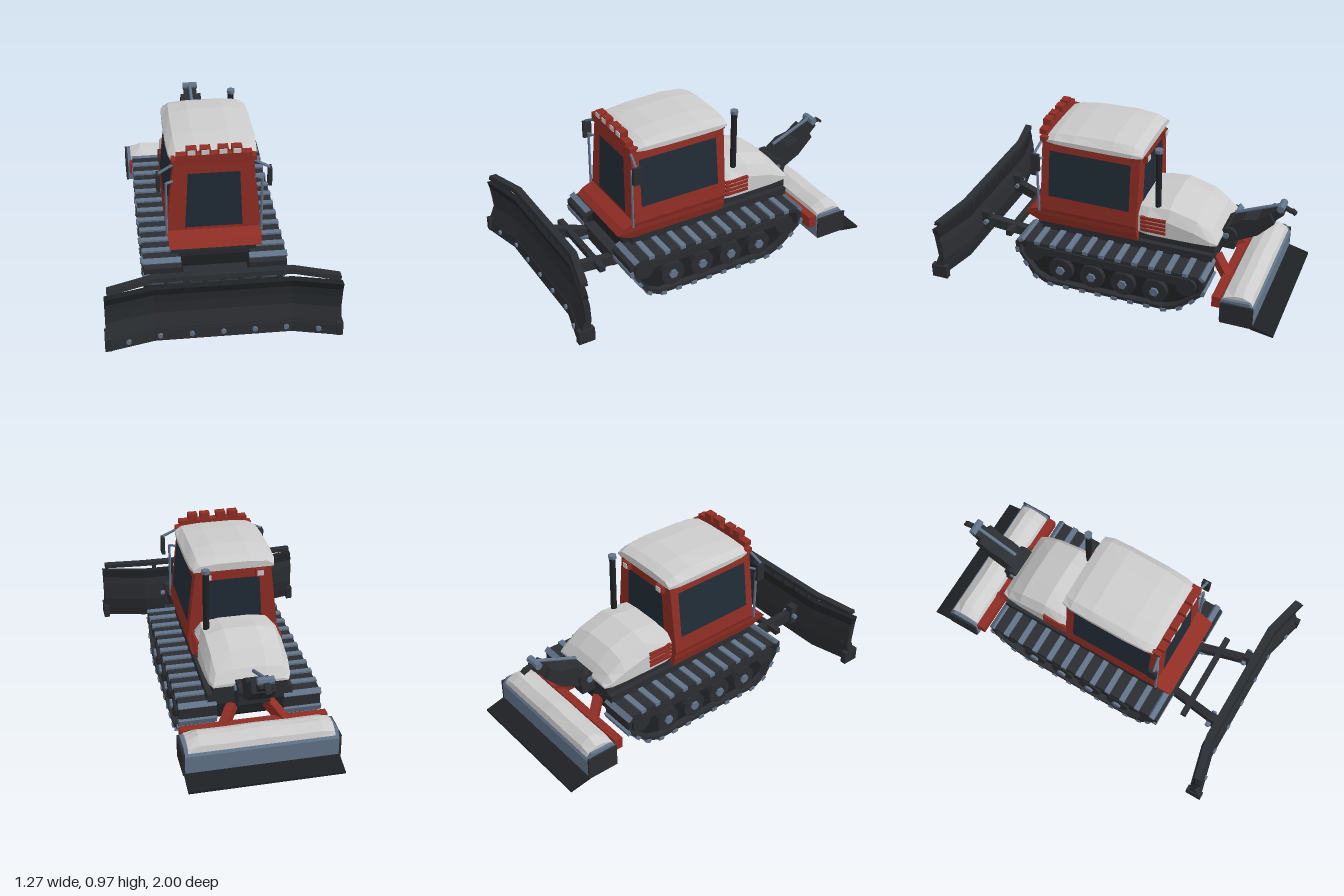
import * as THREE from 'three';

const paint = (color) => new THREE.MeshStandardMaterial({ color, flatShading: true, side: THREE.DoubleSide });

export function createModel() {
  const root = new THREE.Group();
  const dark = paint(0x2a2d31), black = paint(0x1e2124), steel = paint(0x627389);
  const red = paint(0x8f2d24), white = paint(0xcccccc), glass = paint(0x212c36);
  const V = (x, y, z) => new THREE.Vector3(x, y, z);

  const add = (name, geo, mat) => {
    const m = new THREE.Mesh(geo, mat);
    m.name = name;
    root.add(m);
    return m;
  };
  const box = (name, mat, w, h, d, x, y, z) => {
    const m = add(name, new THREE.BoxGeometry(w, h, d), mat);
    m.position.set(x, y, z);
    return m;
  };
  // Box between two points
  const beam = (name, mat, a, b, w, h) => {
    const m = box(name, mat, w, h, a.distanceTo(b), 0, 0, 0);
    m.position.copy(a).add(b).multiplyScalar(0.5);
    m.lookAt(b);
    return m;
  };
  // Round rod between two points
  const rod = (name, mat, a, b, r, sides = 8) => {
    const m = add(name, new THREE.CylinderGeometry(r, r, a.distanceTo(b), sides), mat);
    m.position.copy(a).add(b).multiplyScalar(0.5);
    m.quaternion.setFromUnitVectors(V(0, 1, 0), b.clone().sub(a).normalize());
    return m;
  };
  // Side profile of [z, y] points, extruded from x0 to x1
  const profile = (name, mat, pts, x0, x1, hole) => {
    const shape = new THREE.Shape(pts.map((p) => new THREE.Vector2(...p)));
    if (hole) shape.holes.push(new THREE.Path(hole.map((p) => new THREE.Vector2(...p))));
    const g = new THREE.ExtrudeGeometry(shape, { depth: x1 - x0, bevelEnabled: false });
    g.rotateY(-Math.PI / 2).translate(x1, 0, 0);
    return add(name, g, mat);
  };
  // Closed faceted skin through rings of equal length, turned outward by its volume
  const loft = (name, mat, rings) => {
    const tris = [], n = rings[0].length, last = rings[rings.length - 1];
    for (let r = 0; r + 1 < rings.length; r++) for (let i = 0; i < n; i++) {
      const j = (i + 1) % n, [a, b] = [rings[r], rings[r + 1]];
      tris.push([a[i], a[j], b[j]], [a[i], b[j], b[i]]);
    }
    for (let i = 1; i + 1 < n; i++) {
      tris.push([rings[0][0], rings[0][i + 1], rings[0][i]], [last[0], last[i], last[i + 1]]);
    }
    let vol = 0;
    for (const [a, b, c] of tris) vol += a.dot(b.clone().cross(c));
    const pts = tris.flatMap(([a, b, c]) => (vol < 0 ? [a, c, b] : [a, b, c]));
    const g = new THREE.BufferGeometry().setFromPoints(pts);
    g.computeVertexNormals();
    return add(name, g, mat);
  };
  const panel = (name, mat, a, b, c, d) => {
    const g = new THREE.BufferGeometry().setFromPoints([a, b, c, a, c, d]);
    g.computeVertexNormals();
    return add(name, g, mat);
  };

  // Hull
  profile('lowerHull', black, [[0.5, 0.29], [0.5, 0.17], [0.4, 0.068], [-0.4, 0.068], [-0.55, 0.18], [-0.55, 0.29]], -0.2, 0.2);
  box('upperHull', dark, 0.48, 0.065, 1.04, 0, 0.303, -0.055);
  box('engineBed', dark, 0.42, 0.07, 0.46, 0, 0.365, -0.35);

  // Tracks with cleats and wheels
  const loop = [[0.53, 0.286], [0.568, 0.265], [0.565, 0.225], [0.465, 0.055], [0.385, 0.012], [-0.36, 0.012],
    [-0.44, 0.045], [-0.58, 0.17], [-0.582, 0.27], [-0.56, 0.286]];
  const inner = loop.map(([z, y]) => [z * 0.955, 0.15 + (y - 0.15) * 0.84]);
  const path = new THREE.Shape(loop.map((p) => new THREE.Vector2(...p)));
  path.closePath();
  const spots = path.getSpacedPoints(26);
  for (const s of [-1, 1]) {
    const lo = Math.min(s * 0.19, s * 0.4);
    profile('trackBelt', dark, loop, lo, lo + 0.21, inner);
    const lo2 = Math.min(s * 0.2, s * 0.36);
    profile('trackInnerPanel', black, inner, lo2, lo2 + 0.16);
    box('trackSideRail', dark, 0.03, 0.05, 0.92, s * 0.375, 0.225, -0.02);
    for (let i = 0; i < 26; i++) {
      const p = spots[i], q = spots[i + 1].clone().sub(spots[(i + 25) % 26]);
      box('trackCleat', steel, 0.214, 0.022, 0.034, s * 0.298, p.y, p.x).rotation.x = -Math.atan2(q.y, q.x);
    }
    for (const z of [0.29, 0.096, -0.096, -0.29]) {
      rod('roadWheel', dark, V(s * 0.34, 0.12, z), V(s * 0.392, 0.12, z), 0.075, 14);
      rod('wheelHub', steel, V(s * 0.38, 0.12, z), V(s * 0.405, 0.12, z), 0.028, 6);
    }
    rod('frontIdler', dark, V(s * 0.3, 0.2, 0.465), V(s * 0.385, 0.2, 0.465), 0.058, 12);
    rod('rearSprocket', dark, V(s * 0.3, 0.19, -0.475), V(s * 0.385, 0.19, -0.475), 0.06, 12);
  }

  // Cab
  const cabRing = ([y, h, z0, z1]) => [V(-h, y, z0), V(h, y, z0), V(h, y, z1), V(-h, y, z1)];
  loft('cabBody', red, [[0.333, 0.24, -0.13, 0.475], [0.385, 0.255, -0.13, 0.565], [0.415, 0.257, -0.13, 0.53],
    [0.44, 0.265, -0.13, 0.46], [0.87, 0.217, -0.14, 0.45]].map(cabRing));
  const wall = (y) => 0.268 - (y - 0.44) * 0.111;
  panel('windshield', glass, V(-0.16, 0.46, 0.465), V(0.16, 0.46, 0.465), V(0.142, 0.805, 0.457), V(-0.142, 0.805, 0.457));
  panel('rearWindow', glass, V(0.165, 0.56, -0.138), V(-0.165, 0.56, -0.138), V(-0.15, 0.81, -0.143), V(0.15, 0.81, -0.143));
  for (const s of [-1, 1]) {
    const c = [[0.53, 0.41], [0.53, -0.085], [0.815, -0.085], [0.815, 0.405]].map(([y, z]) => V(s * wall(y), y, z));
    panel('sideWindow', glass, ...(s > 0 ? c : c.reverse()));
    // Grab rails and mirrors
    rod('grabRail', steel, V(s * 0.263, 0.42, 0.47), V(s * 0.263, 0.762, 0.47), 0.008, 6);
    rod('grabRailTop', steel, V(s * 0.263, 0.76, 0.47), V(s * 0.225, 0.76, 0.45), 0.008, 6);
    rod('mirrorArm', steel, V(s * 0.2, 0.88, 0.45), V(s * 0.302, 0.825, 0.465), 0.008, 6);
    box('mirror', dark, 0.02, 0.105, 0.05, s * 0.304, 0.77, 0.46);
    box('rearLampHousing', red, 0.05, 0.045, 0.03, s * 0.15, 0.84, -0.15);
    box('rearLamp', white, 0.035, 0.03, 0.006, s * 0.15, 0.84, -0.167);
  }

  // Roof and light bar
  const arch = (z, h, base, edge, top) => [[-1, base], [-1, edge], [-0.84, edge * 0.3 + top * 0.7], [-0.4, top],
    [0.4, top], [0.84, edge * 0.3 + top * 0.7], [1, edge], [1, base]].map(([k, y]) => V(k * h, y, z));
  loft('roof', white, [arch(0.42, 0.23, 0.872, 0.885, 0.912), arch(0.37, 0.242, 0.872, 0.895, 0.928),
    arch(0.25, 0.248, 0.872, 0.9, 0.946), arch(0.02, 0.248, 0.872, 0.9, 0.956),
    arch(-0.1, 0.244, 0.872, 0.895, 0.94), arch(-0.155, 0.23, 0.872, 0.885, 0.915)]);
  box('roofRim', red, 0.45, 0.02, 0.6, 0, 0.868, 0.155);
  box('visor', red, 0.46, 0.035, 0.05, 0, 0.88, 0.435);
  box('lightBar', red, 0.41, 0.03, 0.045, 0, 0.915, 0.45);
  for (const x of [-0.122, -0.048, 0.048, 0.122]) {
    box('roofLampHousing', red, 0.056, 0.042, 0.045, x, 0.946, 0.45);
    box('roofLamp', white, 0.042, 0.028, 0.006, x, 0.947, 0.474);
  }

  // Engine hood with side louvers and exhaust
  loft('hood', white, [arch(-0.13, 0.225, 0.39, 0.5, 0.565), arch(-0.19, 0.238, 0.39, 0.505, 0.57),
    arch(-0.31, 0.238, 0.39, 0.495, 0.588), arch(-0.47, 0.235, 0.39, 0.455, 0.54),
    arch(-0.555, 0.228, 0.39, 0.415, 0.47), arch(-0.598, 0.212, 0.39, 0.397, 0.408)]);
  for (const s of [-1, 1]) for (let i = 0; i < 4; i++) {
    box('hoodLouver', red, 0.016, 0.017, 0.15, s * 0.238, 0.42 + i * 0.026, -0.225);
  }
  rod('exhaustPipe', black, V(0.178, 0.5, -0.235), V(0.178, 0.91, -0.235), 0.018, 8);
  rod('exhaustCap', steel, V(0.178, 0.905, -0.235), V(0.178, 0.925, -0.235), 0.025, 6);

  // Rear lifting arm
  box('armBase', dark, 0.18, 0.09, 0.11, 0, 0.35, -0.61);
  rod('armDrum', dark, V(-0.09, 0.39, -0.625), V(0.09, 0.39, -0.625), 0.05, 10);
  rod('armPivot', steel, V(-0.1, 0.39, -0.615), V(0.1, 0.39, -0.615), 0.018, 8);
  profile('lowerArm', dark, [[-0.59, 0.38], [-0.67, 0.35], [-0.79, 0.415], [-0.88, 0.51], [-0.85, 0.57],
    [-0.78, 0.515], [-0.7, 0.5], [-0.61, 0.43]], -0.065, 0.065);
  profile('upperArm', dark, [[-0.84, 0.48], [-0.925, 0.565], [-0.91, 0.605], [-0.82, 0.545]], -0.04, 0.04);
  rod('armRam', steel, V(0, 0.5, -0.64), V(0, 0.61, -0.9), 0.01);
  rod('armTipPin', steel, V(-0.045, 0.6, -0.905), V(0.045, 0.6, -0.905), 0.022, 8);
  beam('armHook', dark, V(0, 0.6, -0.91), V(0, 0.575, -0.965), 0.03, 0.015);
  beam('armHookTip', dark, V(0, 0.585, -0.96), V(0, 0.565, -0.985), 0.03, 0.015);

  // Rear tiller and its carrying frame
  profile('tillerHousing', steel, [[-0.685, 0.05], [-0.685, 0.17], [-0.71, 0.195], [-0.85, 0.2],
    [-0.88, 0.16], [-0.88, 0.045]], -0.425, 0.425);
  const cover = [[-0.69, 0.175], [-0.7, 0.21], [-0.76, 0.245], [-0.81, 0.25], [-0.86, 0.21], [-0.87, 0.175]];
  loft('tillerCover', white, [[-0.405, 0.6], [-0.34, 0.95], [-0.18, 0.88], [0, 1], [0.18, 0.88], [0.34, 0.95], [0.405, 0.6]]
    .map(([x, k]) => cover.map(([z, y]) => V(x, 0.175 + (y - 0.175) * k, z))));
  profile('tillerFlap', black, [[-0.87, 0.06], [-1, 0.025], [-1, 0.012], [-0.87, 0.035]], -0.43, 0.43);
  beam('tillerCrossBeam', red, V(-0.415, 0.16, -0.66), V(0.415, 0.16, -0.66), 0.05, 0.07);
  for (const s of [-1, 1]) {
    box('tillerEndPlate', dark, 0.012, 0.135, 0.19, s * 0.431, 0.112, -0.785);
    beam('tillerLink', red, V(s * 0.1, 0.25, -0.565), V(s * 0.19, 0.15, -0.68), 0.05, 0.06);
  }

  // Front blade with swept wings
  const sweep = (x) => Math.max(0, (Math.abs(x) - 0.37) / 0.26) * 0.062;
  const strip = (name, mat, pts, drop = 0, end = 0.63) => loft(name, mat, [-end, -0.37, 0.37, end].map((x) =>
    pts.map(([z, y]) => V(x, y - (Math.abs(x) > 0.4 ? drop : 0), z + sweep(x)))));
  strip('bladePlate', dark, [[0.888, 0.22], [0.89, 0.29], [0.908, 0.39], [0.88, 0.39], [0.862, 0.3],
    [0.857, 0.2], [0.872, 0.13], [0.89, 0.075], [0.934, 0.075], [0.922, 0.14]]);
  strip('bladeLip', black, [[0.903, 0.35], [0.915, 0.395], [0.876, 0.395], [0.868, 0.35]]);
  strip('cuttingEdge', dark, [[0.938, 0.068], [0.928, 0.13], [0.89, 0.13], [0.89, 0.068]]);
  strip('bladeRail', dark, [[0.912, 0.438], [0.905, 0.462], [0.865, 0.462], [0.865, 0.438]], 0.02, 0.615);
  for (let i = -3; i <= 3; i++) {
    const x = i * 0.17, z = 0.932 + sweep(x);
    rod('bladeBolt', steel, V(x, 0.1, z - 0.01), V(x, 0.1, z + 0.012), 0.015, 6);
  }
  for (const x of [-0.3, -0.19, -0.095, 0, 0.095, 0.19, 0.3]) {
    box('railPost', dark, 0.024, 0.07, 0.025, x, 0.415, 0.89);
  }

  // Push frame
  beam('pushCrossbar', dark, V(-0.275, 0.215, 0.675), V(0.275, 0.215, 0.675), 0.035, 0.035);
  box('pushMount', dark, 0.36, 0.08, 0.09, 0, 0.18, 0.52);
  for (const s of [-1, 1]) {
    box('bladeEndCap', dark, 0.035, 0.08, 0.095, s * 0.62, 0.11, 0.9525);
    beam('pushArm', dark, V(s * 0.155, 0.17, 0.54), V(s * 0.215, 0.245, 0.85), 0.045, 0.06);
    box('bladeBracket', dark, 0.05, 0.12, 0.06, s * 0.22, 0.25, 0.845);
    rod('bladePin', steel, V(s * 0.17, 0.25, 0.83), V(s * 0.27, 0.25, 0.83), 0.015, 6);
    rod('bladeRam', steel, V(s * 0.12, 0.15, 0.5), V(s * 0.17, 0.15, 0.63), 0.018);
  }
  return root;
}
